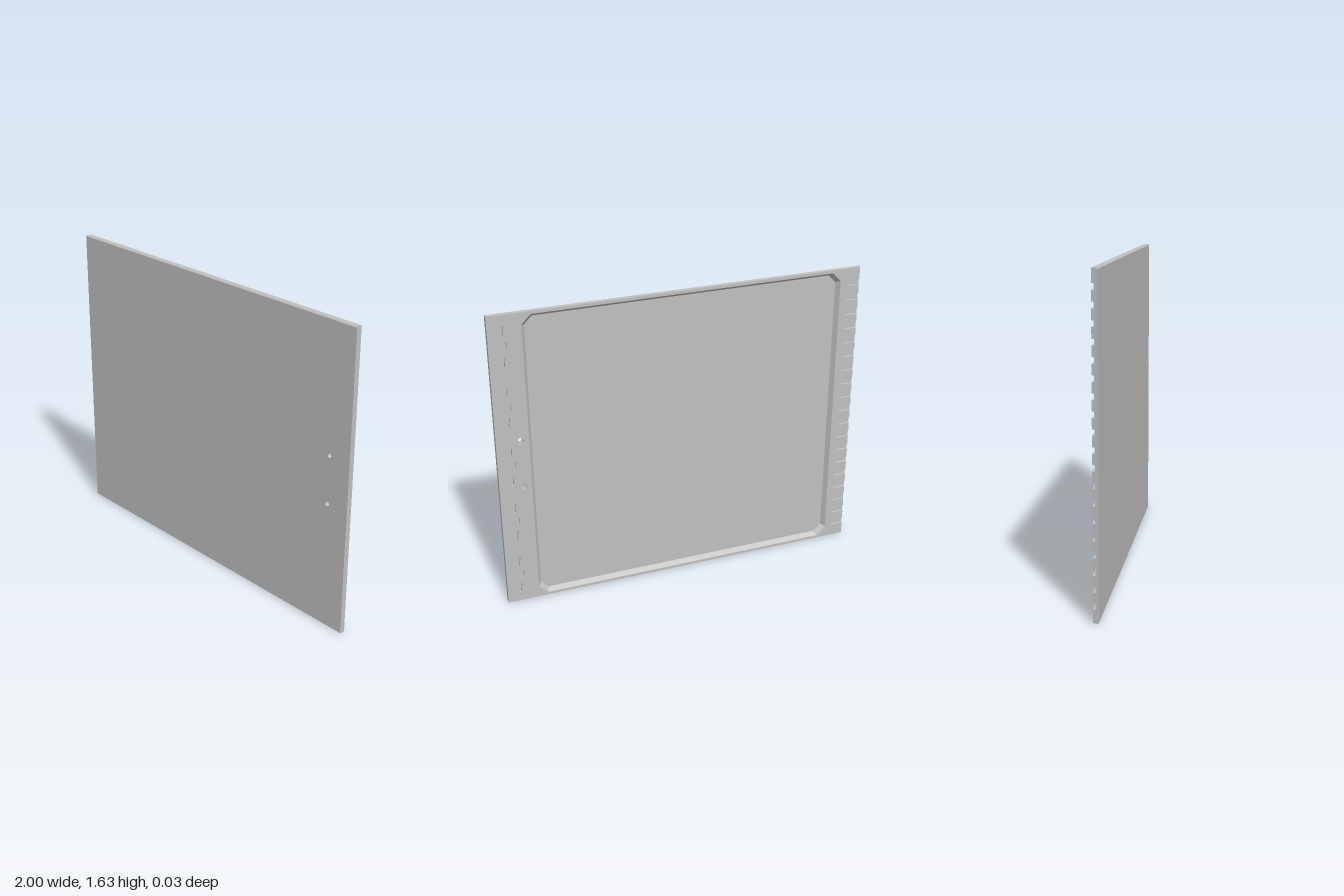
import * as THREE from 'three';

const W = 1, H = 1.635;                 // half width, height
const BACK = -0.015, MID = -0.001, FLOOR = 0.01, FRONT = 0.015;
const PITCH = H / 20;
const SCREWS = [0.69, 0.95];

export function createModel() {
  const group = new THREE.Group();
  group.name = 'panel';
  const grey = new THREE.MeshStandardMaterial({ color: 0xc0c0c0 });
  grey.name = 'grey';

  const add = (name, geometry) => {
    const mesh = new THREE.Mesh(geometry, grey);
    mesh.name = name;
    group.add(mesh);
  };
  const points = (list) => list.map(([x, y]) => new THREE.Vector2(x, y));
  const circle = (x, y, r) => new THREE.Path().absarc(x, y, r, 0, Math.PI * 2);

  // Rectangle with cut corners, inset from the recess mouth
  const octagon = (inset) => {
    const l = -0.88 + inset, r = 0.83 - inset, b = 0.015 + inset, t = H - 0.015 - inset;
    const c = 0.048 - inset * 0.4;
    return [[l + c, b], [r - c, b], [r, b + c], [r, t - c],
      [r - c, t], [l + c, t], [l, t - c], [l, b + c]];
  };

  // Outline of a layer, optionally with the row of notches on the right edge
  const outline = (notched) => {
    const p = [[-W, 0], [W, 0], [W, H], [-W, H]];
    if (notched) {
      for (let k = 19; k >= 1; k--) {
        const y = k * PITCH, h = 0.015;
        p.push([-W, y + h], [-0.92, y + h], [-0.92, y - h], [-W, y - h]);
      }
    }
    return new THREE.Shape(points(p));
  };

  // Extrude a layer, slanting its right edge and easing the front's long edges
  const layer = (shape, z0, z1) => {
    const g = new THREE.ExtrudeGeometry(shape, { depth: z1 - z0, bevelEnabled: false, curveSegments: 10 });
    g.translate(0, 0, z0);
    const p = g.attributes.position;
    for (let i = 0; i < p.count; i++) {
      const z = p.getZ(i), y = p.getY(i);
      if (p.getX(i) < -0.999) p.setX(i, -1 + 0.01 * (FRONT - z) / (FRONT - BACK));
      if (z > FRONT - 0.001) {
        if (y > H - 0.001) p.setY(i, H - 0.005);
        if (y < 0.001) p.setY(i, 0.005);
      }
    }
    g.computeVertexNormals();
    return g;
  };

  // Back layer: notches, hinge slots, counterbores and recess mouth
  const back = outline(true);
  back.holes.push(new THREE.Path(points(octagon(0))));
  for (const y of SCREWS) back.holes.push(circle(0.873, y, 0.019));
  for (let k = 0; k < 10; k++) {
    const y = PITCH * (2 * k + 1);
    back.holes.push(new THREE.Path(points([
      [0.926, y - 0.028], [0.934, y - 0.028], [0.941, y + 0.022],
      [0.936, y + 0.028], [0.924, y + 0.028], [0.919, y + 0.022]])));
  }
  for (let k = 0; k < 5; k++) {
    const y = PITCH * (4 * k + 2);
    back.holes.push(new THREE.Path(points([
      [0.909, y - 0.018], [0.919, y - 0.018], [0.919, y + 0.018], [0.909, y + 0.018]])));
  }
  add('backFrame', layer(back, BACK, MID));

  // Middle layer closes the notches and slots
  const middle = outline(false);
  middle.holes.push(new THREE.Path(points(octagon(0))));
  for (const y of SCREWS) middle.holes.push(circle(0.873, y, 0.012));
  add('middleFrame', layer(middle, MID, FLOOR));

  // Front sheet, which is also the recess floor
  const front = outline(false);
  for (const y of SCREWS) front.holes.push(circle(0.873, y, 0.012));
  add('frontSheet', layer(front, FLOOR, FRONT));

  // Sloped walls from the recess mouth to its floor
  const mouth = octagon(0), floor = octagon(0.018), v = [];
  for (let i = 0; i < 8; i++) {
    const j = (i + 1) % 8;
    const a = [...mouth[i], BACK], b = [...mouth[j], BACK];
    const c = [...floor[j], FLOOR], d = [...floor[i], FLOOR];
    v.push(...a, ...c, ...b, ...a, ...d, ...c);
  }
  const walls = new THREE.BufferGeometry();
  walls.setAttribute('position', new THREE.Float32BufferAttribute(v, 3));
  walls.computeVertexNormals();
  add('recessWalls', walls);

  return group;
}
